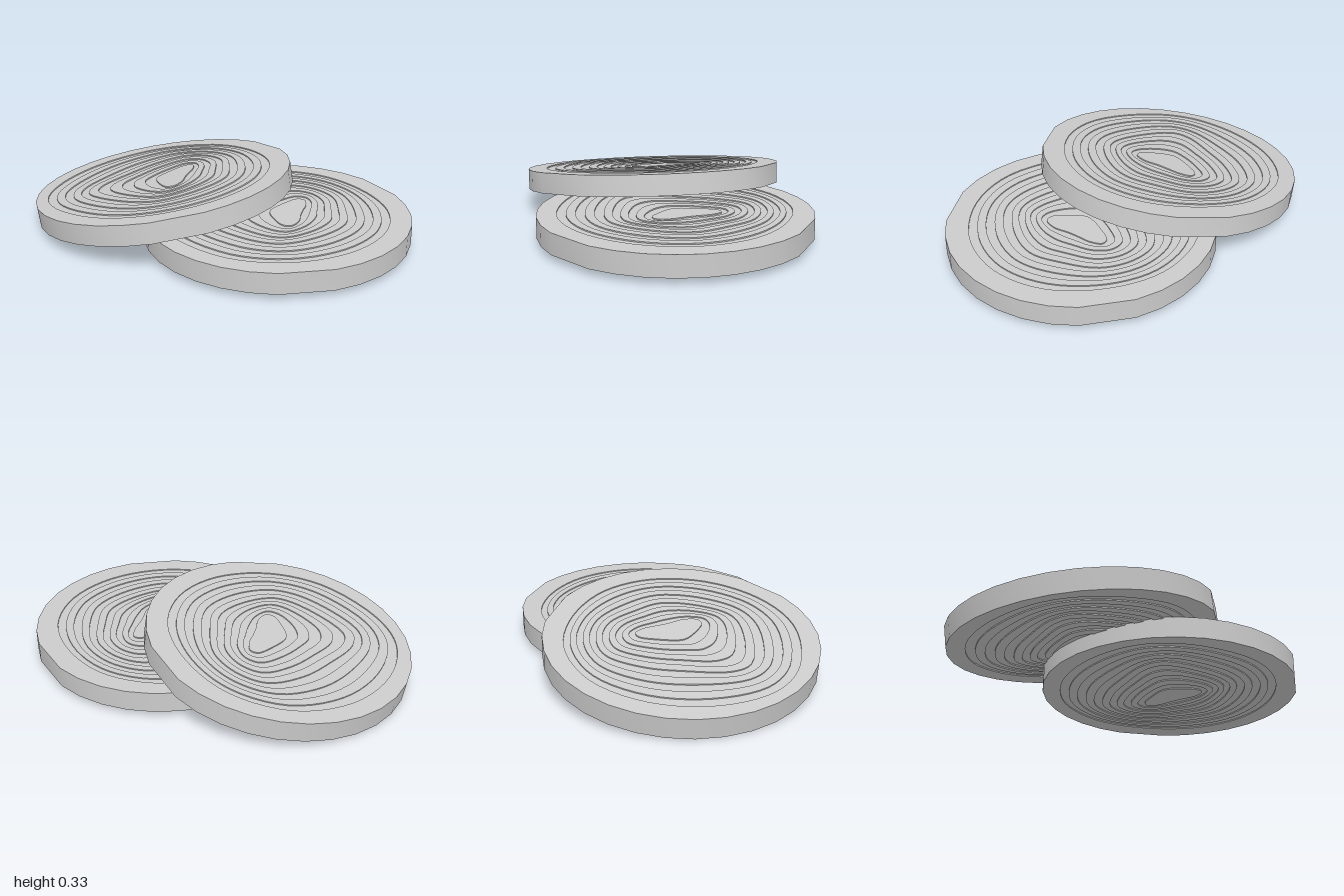
import * as THREE from 'three';
import { toCreasedNormals } from 'three/addons/utils/BufferGeometryUtils.js';

const RADIUS = 0.679, THICKNESS = 0.107, RECESS = 0.006, CONTOURS = 12;

// Key growth-ring outlines, one point per 30 degrees
const closed = pts => new THREE.CatmullRomCurve3(
  pts.map(([x, y]) => new THREE.Vector3(x, y, 0)), true).getPoints(60).slice(0, 60);

const core = closed([[0.12, 0.03], [0.11, 0.09], [0.1, 0.16], [0.07, 0.215], [0.03, 0.21], [-0.01, 0.13],
  [-0.04, 0.02], [-0.03, -0.02], [0.02, -0.08], [0.085, -0.13], [0.125, -0.12], [0.14, -0.05]]);
const middle = closed([[0.34, 0.02], [0.29, 0.17], [0.2, 0.33], [0.06, 0.4], [-0.08, 0.39], [-0.2, 0.25],
  [-0.27, 0.08], [-0.33, -0.13], [-0.3, -0.23], [0, -0.33], [0.15, -0.31], [0.28, -0.16]]);
const outer = closed([[0.57, 0], [0.5, 0.27], [0.29, 0.48], [0.02, 0.58], [-0.28, 0.52], [-0.5, 0.3],
  [-0.59, 0], [-0.54, -0.29], [-0.37, -0.47], [-0.02, -0.58], [0.27, -0.5], [0.49, -0.28]]);

// Outline at t: 0 is the core, 1 is the last ring before the rim
function contour(t) {
  const [a, b, k] = t < 0.5 ? [core, middle, t * 2] : [middle, outer, t * 2 - 1];
  return a.map((p, i) => new THREE.Vector2(
    THREE.MathUtils.lerp(p.x, b[i].x, k), THREE.MathUtils.lerp(p.y, b[i].y, k)));
}

// 32-sided rim with a longer flat on each side
function rimOutline() {
  const pts = [];
  for (let i = 0; i < 32; i++) {
    if (i === 5 || i === 27) continue;
    const a = i * Math.PI / 16;
    pts.push(new THREE.Vector2(Math.cos(a) * RADIUS, Math.sin(a) * RADIUS));
  }
  return pts;
}

// Flat slab between two outlines, centred on y = 0
function slab(outline, hole, height) {
  const shape = new THREE.Shape(outline);
  if (hole) shape.holes.push(new THREE.Path(hole));
  const geo = new THREE.ExtrudeGeometry(shape, { depth: height, bevelEnabled: false });
  geo.translate(0, 0, -height / 2).rotateX(-Math.PI / 2);
  return toCreasedNormals(geo, 0.6);
}

// A disc of nested rings; every second ring is recessed on both faces
function makeDisc(name, material) {
  const disc = new THREE.Group();
  disc.name = name;
  const outlines = [];
  for (let i = 0; i < CONTOURS; i++) outlines.push(contour(i / (CONTOURS - 1)));
  outlines.push(rimOutline());
  outlines.forEach((outline, i) => {
    const height = i % 2 ? THICKNESS - 2 * RECESS : THICKNESS;
    const mesh = new THREE.Mesh(slab(outline, outlines[i - 1], height), material);
    mesh.name = i === 0 ? 'core' : i === CONTOURS ? 'rim' : 'growthRing' + i;
    disc.add(mesh);
  });
  return disc;
}

export function createModel() {
  const model = new THREE.Group();
  model.name = 'woodSliceCoasters';
  const material = new THREE.MeshStandardMaterial({ color: 0xcccccc });

  // Flat coaster
  const lower = makeDisc('flatCoaster', material);
  lower.position.set(0.321, 0.083, 0);

  // Coaster leaning on the flat one
  const upper = makeDisc('leaningCoaster', material);
  upper.position.set(-0.322, 0.163, 0);
  upper.rotation.z = THREE.MathUtils.degToRad(9.35);

  model.add(lower, upper);
  return model;
}
